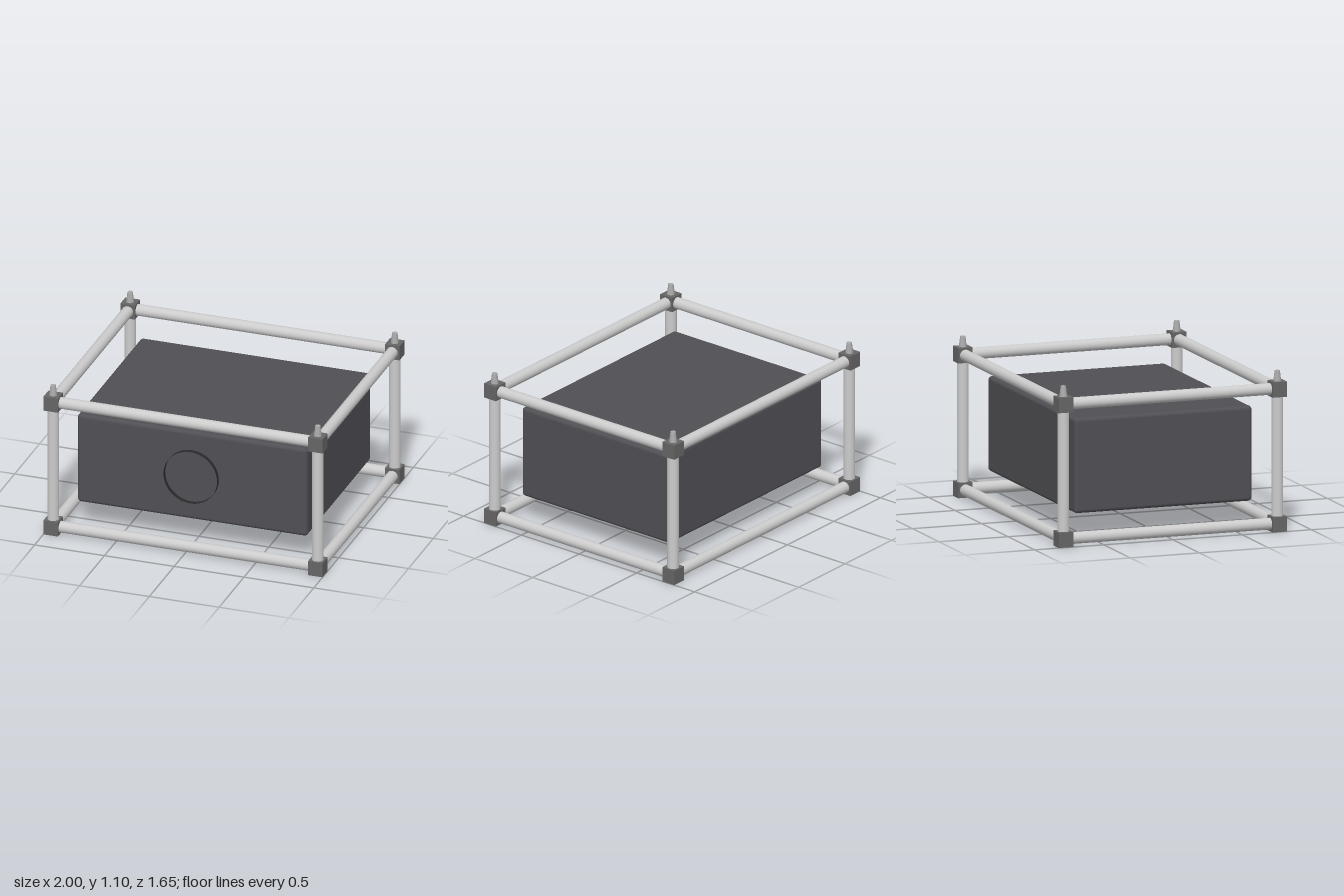
import * as THREE from 'three';
import { RoundedBoxGeometry } from 'three/addons/geometries/RoundedBoxGeometry.js';

const paint = (color, side = THREE.FrontSide) => new THREE.MeshStandardMaterial({ color, side });

export function createModel() {
  const model = new THREE.Group();
  const pipeMat = paint(0xcccccc);
  const jointMat = paint(0x666666);
  const pinMat = paint(0xaaaaaa);

  function add(parent, name, geometry, material, x, y, z) {
    const mesh = new THREE.Mesh(geometry, material);
    mesh.name = name;
    mesh.position.set(x, y, z);
    parent.add(mesh);
    return mesh;
  }

  // Frame corner centres
  const X = 0.948, Z = 0.773, LOW = 0.052, HIGH = 0.978, MID = (LOW + HIGH) / 2;
  const JOINT = 0.104, PIPE = 0.04;

  const frame = new THREE.Group();
  frame.name = 'frame';
  model.add(frame);

  // Pipes run between the joint centres
  const pipe = (length) => new THREE.CylinderGeometry(PIPE, PIPE, length, 32);
  const widthPipe = pipe(2 * X), depthPipe = pipe(2 * Z), post = pipe(HIGH - LOW);
  for (const y of [LOW, HIGH]) {
    for (const s of [-1, 1]) {
      add(frame, 'widthPipe', widthPipe, pipeMat, 0, y, s * Z).rotation.z = Math.PI / 2;
      add(frame, 'depthPipe', depthPipe, pipeMat, s * X, y, 0).rotation.x = Math.PI / 2;
    }
  }

  // Corner posts, cube joints and tapered stacking pins
  const joint = new THREE.BoxGeometry(JOINT, JOINT, JOINT);
  const pin = new THREE.CylinderGeometry(0.018, 0.028, 0.08, 24);
  for (const sx of [-1, 1]) {
    for (const sz of [-1, 1]) {
      const x = sx * X, z = sz * Z;
      add(frame, 'cornerPost', post, pipeMat, x, MID, z);
      add(frame, 'lowerJoint', joint, jointMat, x, LOW, z);
      add(frame, 'upperJoint', joint, jointMat, x, HIGH, z);
      add(frame, 'stackingPin', pin, pinMat, x, 1.063, z);
    }
  }

  // Case hanging inside the frame
  add(model, 'case', new RoundedBoxGeometry(1.648, 0.654, 1.286, 4, 0.026),
    paint(0x504f54), 0, 0.517, 0);

  // Thin open ring on the front face
  add(model, 'lensRing', new THREE.CylinderGeometry(0.192, 0.192, 0.05, 48, 1, true),
    paint(0x2a2a2c, THREE.DoubleSide), 0, 0.517, 0.652).rotation.x = Math.PI / 2;

  return model;
}
